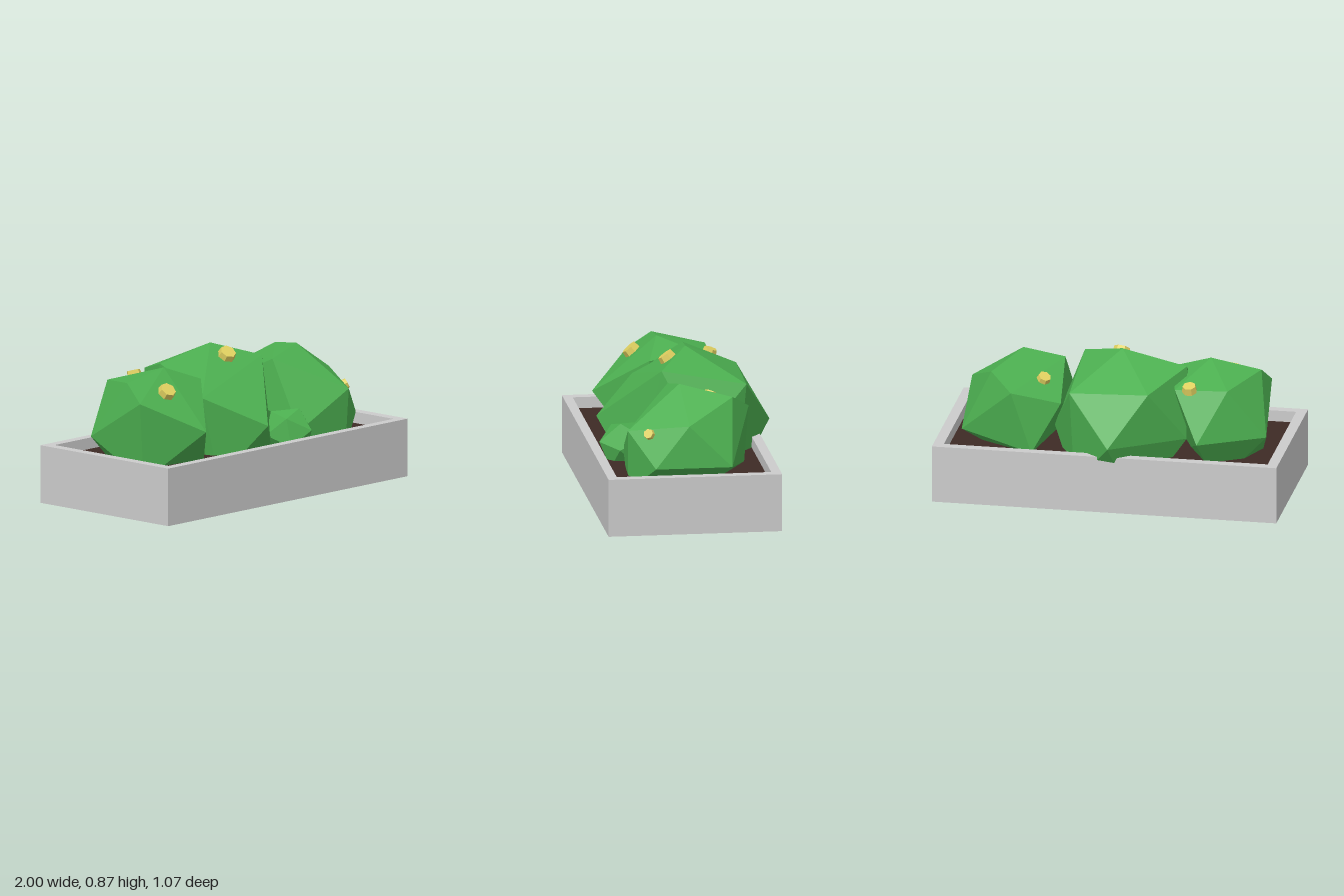
import * as THREE from 'three';
import { ConvexGeometry } from 'three/addons/geometries/ConvexGeometry.js';

const planterMat = new THREE.MeshStandardMaterial({ color: 0xcccccc });
const soilMat = new THREE.MeshStandardMaterial({ color: 0x3e2a25 });
const leafMat = new THREE.MeshStandardMaterial({ color: 0x4caf50, flatShading: true });
const flowerMat = new THREE.MeshStandardMaterial({ color: 0xe0d060, flatShading: true });

function add(parent, name, geometry, material, x = 0, y = 0, z = 0) {
  const mesh = new THREE.Mesh(geometry, material);
  mesh.name = name;
  mesh.position.set(x, y, z);
  parent.add(mesh);
  return mesh;
}

// A faceted bush is the hull of a dozen corner points
function bush(parent, name, points) {
  const corners = points.map((p) => new THREE.Vector3(...p));
  return add(parent, name, new ConvexGeometry(corners), leafMat);
}

// A flower is a short faceted disc, dropped onto a bush and turned to its surface
function flower(parent, target, x, z, radius) {
  const ray = new THREE.Raycaster(new THREE.Vector3(x, 2, z), new THREE.Vector3(0, -1, 0));
  const hit = ray.intersectObject(target)[0];
  if (!hit) return;
  const disc = add(parent, 'flower', new THREE.CylinderGeometry(radius * 0.85, radius, radius * 0.9, 7), flowerMat);
  disc.quaternion.setFromUnitVectors(new THREE.Vector3(0, 1, 0), hit.face.normal);
  disc.position.copy(hit.point).addScaledVector(hit.face.normal, radius * 0.2);
}

export function createModel() {
  const group = new THREE.Group();
  group.name = 'planterBox';

  // Planter: a rectangular rim with a floor
  const W = 2, D = 1, H = 0.335, T = 0.06, base = 0.02, midZ = 0.03;
  const outline = new THREE.Shape();
  outline.moveTo(-W / 2, -D / 2).lineTo(W / 2, -D / 2).lineTo(W / 2, D / 2).lineTo(-W / 2, D / 2).closePath();
  const hole = new THREE.Path();
  const hx = W / 2 - T, hz = D / 2 - T + 0.005;
  hole.moveTo(-hx, -hz).lineTo(-hx, hz).lineTo(hx, hz).lineTo(hx, -hz).closePath();
  outline.holes.push(hole);
  const walls = new THREE.ExtrudeGeometry(outline, { depth: H, bevelEnabled: false }).rotateX(-Math.PI / 2);
  add(group, 'planterWalls', walls, planterMat, 0, base, midZ);
  add(group, 'planterFloor', new THREE.BoxGeometry(hx * 2, 0.04, hz * 2), planterMat, 0, base + 0.02, midZ);
  add(group, 'soil', new THREE.BoxGeometry(hx * 2, 0.23, hz * 2), soilMat, 0, 0.175, midZ);

  // Bushes
  const middle = bush(group, 'middleBush', [
    [-0.03, 0.87, -0.05], [0.22, 0.786, 0.12], [0.22, 0.694, -0.37], [-0.235, 0.71, -0.37],
    [-0.41, 0.797, -0.085], [-0.375, 0.63, 0.21], [-0.086, 0.46, 0.455], [-0.03, 0.425, -0.535],
    [0.36, 0.4, -0.08], [-0.43, 0.4, -0.2], [-0.28, 0.15, 0.25], [0.17, 0.12, 0.27],
    [-0.15, 0.0, -0.26], [0.2, 0.13, -0.32],
  ]);
  const right = bush(group, 'rightBush', [
    [-0.525, 0.81, 0.05], [-0.82, 0.76, 0.04], [-0.856, 0.66, 0.175], [-0.675, 0.72, -0.25],
    [-0.37, 0.71, -0.25], [-0.29, 0.72, 0.12], [-0.56, 0.487, 0.415], [-0.52, 0.43, -0.385],
    [-0.888, 0.43, -0.18], [-0.8, 0.2, 0.15], [-0.36, 0.2, 0.2], [-0.6, 0.12, -0.15],
  ]);
  const left = bush(group, 'leftBush', [
    [0.567, 0.797, 0.065], [0.33, 0.743, 0.1], [0.7, 0.743, -0.225], [0.86, 0.617, 0.045],
    [0.674, 0.557, 0.375], [0.567, 0.657, -0.335], [0.294, 0.58, -0.24], [0.877, 0.375, -0.2],
    [0.877, 0.375, 0.24], [0.285, 0.36, 0.35], [0.45, 0.3, -0.325], [0.65, 0.2, 0.37],
    [0.55, 0.12, 0],
  ]);
  const sprig = add(group, 'smallBush', new THREE.IcosahedronGeometry(0.155, 0), leafMat, 0.22, 0.36, 0.33);
  sprig.rotation.set(0.35, 0.3, 0.15);
  sprig.scale.set(0.93, 1, 1.03);

  // Flowers
  group.updateMatrixWorld(true);
  flower(group, right, -0.635, 0.17, 0.055);
  flower(group, right, -0.455, -0.245, 0.045);
  flower(group, middle, -0.003, 0.05, 0.055);
  flower(group, left, 0.415, -0.13, 0.043);
  flower(group, left, 0.755, 0.26, 0.034);
  return group;
}
